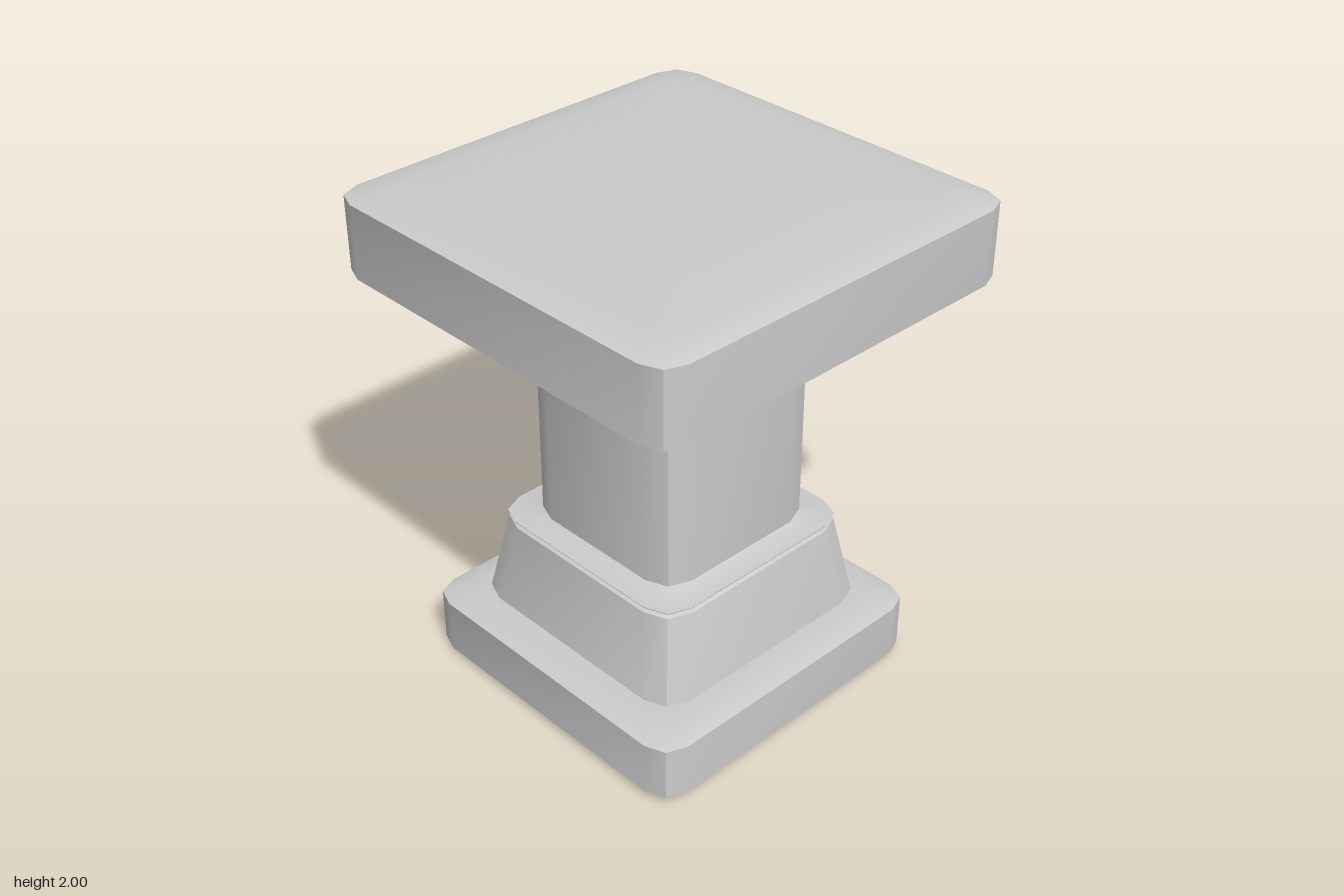
import * as THREE from 'three';
import { toCreasedNormals } from 'three/addons/utils/BufferGeometryUtils.js';

// One quarter of a square outline with a two-step chamfered corner, repeated four times
function ringPoints(half, cut) {
  const inner = half - cut, mid = half - cut * 0.28;
  const quarter = [[half, inner], [mid, mid], [inner, half]];
  const points = [];
  for (let k = 0; k < 4; k++) {
    for (const [x, z] of quarter) {
      points.push([[x, z], [-z, x], [-x, -z], [z, -x]][k]);
    }
  }
  return points;
}

// Capped loft through rings of [height, half width], from bottom to top
function loft(name, cut, rings, material) {
  const n = 12, positions = [], index = [];
  for (const [y, half] of rings) {
    for (const [x, z] of ringPoints(half, cut)) positions.push(x, y, z);
  }
  const last = (rings.length - 1) * n;
  const bottom = rings.length * n, top = bottom + 1;
  positions.push(0, rings[0][0], 0, 0, rings[rings.length - 1][0], 0);
  for (let i = 0; i < n; i++) {
    const j = (i + 1) % n;
    for (let r = 0; r < last; r += n) {
      index.push(r + i, r + i + n, r + j, r + j, r + i + n, r + j + n);
    }
    index.push(bottom, i, j, top, last + j, last + i);
  }
  const geometry = new THREE.BufferGeometry();
  geometry.setAttribute('position', new THREE.Float32BufferAttribute(positions, 3));
  geometry.setIndex(index);
  const mesh = new THREE.Mesh(toCreasedNormals(geometry, 0.45), material);
  mesh.name = name;
  return mesh;
}

export function createModel() {
  const group = new THREE.Group();
  group.name = 'pedestal';
  const material = new THREE.MeshStandardMaterial({ color: 0xcccccc });

  group.add(
    // Foot slab with bevelled edges
    loft('base', 0.11, [[0, 0.61], [0.01, 0.65], [0.022, 0.67], [0.245, 0.67], [0.257, 0.64], [0.263, 0.56], [0.264, 0.49]], material),
    // Tapered block
    loft('plinth', 0.125, [[0.262, 0.49], [0.27, 0.51], [0.285, 0.535], [0.625, 0.475], [0.638, 0.455], [0.645, 0.4]], material),
    // Column with a thin overhanging collar at its foot and a flare at its head
    loft('shaft', 0.12, [[0.646, 0.474], [0.65, 0.476], [0.654, 0.41], [0.668, 0.38], [1.645, 0.38], [1.66, 0.41], [1.672, 0.48]], material),
    // Wide slab on top
    loft('topSlab', 0.11, [[1.67, 0.48], [1.672, 0.72], [1.678, 0.79], [1.69, 0.83], [1.98, 0.83], [1.992, 0.8], [2, 0.71]], material)
  );
  return group;
}
